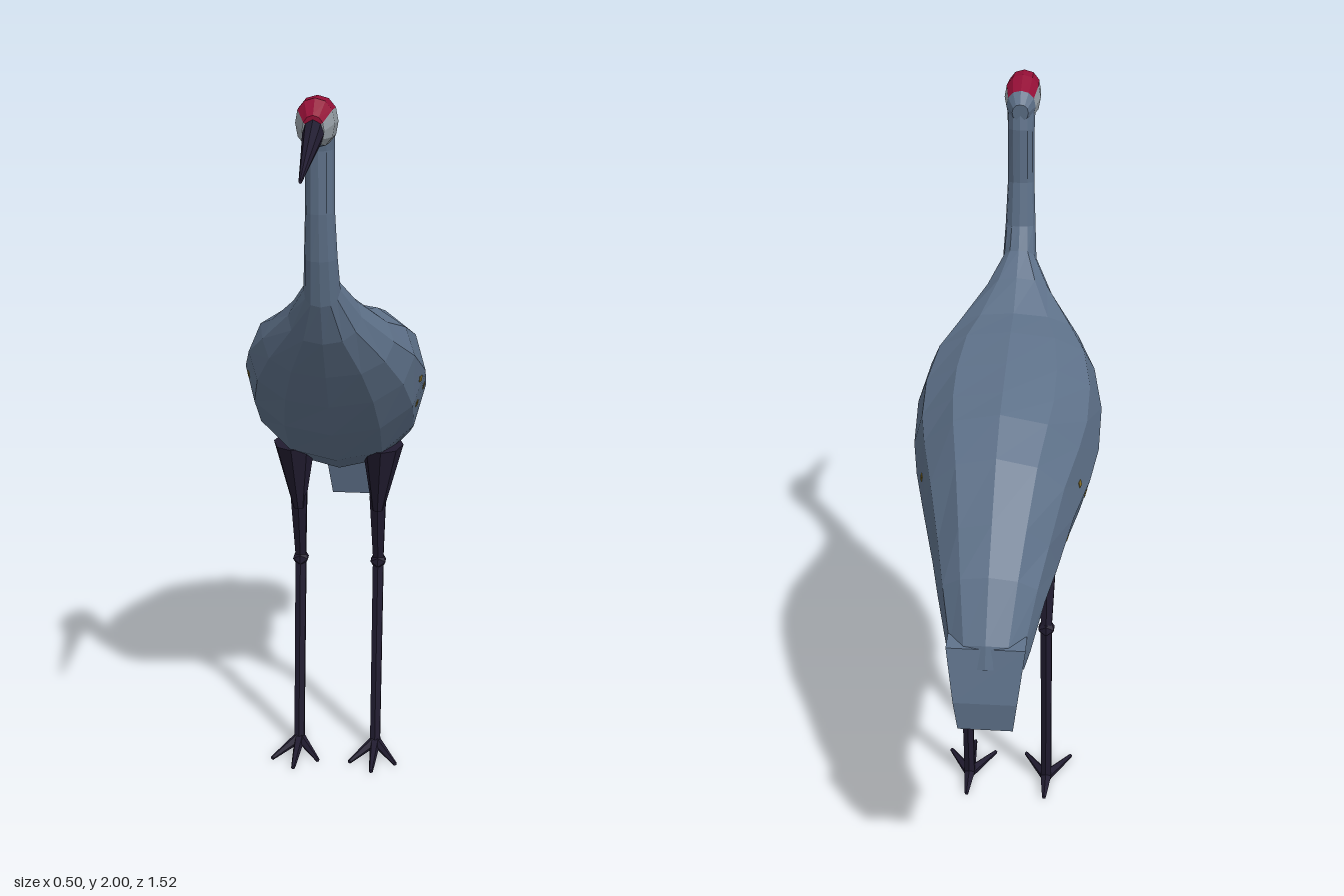
import * as THREE from 'three';

const material = (name, color) => {
  const m = new THREE.MeshStandardMaterial({ color });
  m.name = name;
  return m;
};

// Faceted skin through elliptical rings; each section is [topZ, topY, bottomZ, bottomY, halfWidth]
function loft(sections, n, power = 1, pick = () => 0) {
  const rings = sections.map(([zt, yt, zb, yb, w]) => Array.from({ length: n }, (_, i) => {
    const a = (i / n) * Math.PI * 2;
    const bend = v => Math.sign(v) * Math.pow(Math.abs(v) < 1e-6 ? 0 : Math.abs(v), power);
    const c = bend(Math.cos(a)), s = bend(Math.sin(a));
    return [w * s, (yt + yb) / 2 + (yt - yb) / 2 * c, (zt + zb) / 2 + (zt - zb) / 2 * c];
  }));
  const pos = [], geo = new THREE.BufferGeometry();
  const tri = (a, b, c, m) => {
    geo.addGroup(pos.length / 3, 3, m);
    pos.push(...a, ...b, ...c);
  };
  const last = rings.length - 1;
  const mid = ([zt, yt, zb, yb]) => [0, (yt + yb) / 2, (zt + zb) / 2];
  for (let i = 0; i < n; i++) {
    const j = (i + 1) % n;
    for (let s = 0; s < last; s++) {
      const m = pick(s, i);
      tri(rings[s][i], rings[s + 1][i], rings[s][j], m);
      tri(rings[s][j], rings[s + 1][i], rings[s + 1][j], m);
    }
    tri(mid(sections[0]), rings[0][i], rings[0][j], pick(0, i));
    tri(mid(sections[last]), rings[last][j], rings[last][i], pick(last - 1, i));
  }
  geo.setAttribute('position', new THREE.Float32BufferAttribute(pos, 3));
  geo.computeVertexNormals();
  return geo;
}

// Tapered rod between two points
function rod(a, b, ra, rb, sides = 6) {
  const from = new THREE.Vector3(...a), to = new THREE.Vector3(...b);
  const dir = to.clone().sub(from);
  const geo = new THREE.CylinderGeometry(rb, ra, dir.length(), sides);
  geo.applyQuaternion(new THREE.Quaternion().setFromUnitVectors(new THREE.Vector3(0, 1, 0), dir.normalize()));
  const mid = from.add(to).multiplyScalar(0.5);
  return geo.translate(mid.x, mid.y, mid.z);
}

function facet(geo) {
  const g = geo.index ? geo.toNonIndexed() : geo;
  g.computeVertexNormals();
  return g;
}

export function createModel() {
  const plumage = material('slate plumage', 0x5d7088);
  const dark = material('dark horn', 0x211c30);
  const red = material('red crown', 0x930f36);
  const cheek = material('pale cheek', 0x98a1a8);
  const gold = material('gold fleck', 0x8c7429);

  const model = new THREE.Group();
  const add = (name, geo, mat, parent = model) => {
    const mesh = new THREE.Mesh(geo, mat);
    mesh.name = name;
    parent.add(mesh);
    return mesh;
  };

  // Body and neck, from rump to nape
  const body = add('body', loft([
    [-0.745, 0.82, -0.60, 0.74, 0.09],
    [-0.73, 0.88, -0.585, 0.77, 0.105],
    [-0.64, 1.02, -0.51, 0.82, 0.135],
    [-0.55, 1.12, -0.40, 0.80, 0.16],
    [-0.43, 1.24, -0.32, 0.865, 0.195],
    [-0.32, 1.31, -0.15, 0.87, 0.23],
    [-0.24, 1.337, -0.04, 0.93, 0.248],
    [-0.13, 1.37, 0.07, 1.04, 0.25],
    [0, 1.405, 0.15, 1.145, 0.225],
    [0.1, 1.42, 0.225, 1.25, 0.175],
    [0.2, 1.485, 0.30, 1.36, 0.095],
    [0.27, 1.54, 0.35, 1.47, 0.047],
    [0.30, 1.60, 0.375, 1.59, 0.042],
    [0.318, 1.72, 0.388, 1.71, 0.037],
    [0.308, 1.87, 0.392, 1.865, 0.037],
    [0.315, 1.92, 0.40, 1.90, 0.038],
  ], 12, 0.92), plumage);

  // Tail feathers: saw-toothed block that narrows toward the tips
  const tailShape = new THREE.Shape([
    [0.57, 0.80], [0.585, 0.76], [0.62, 0.62], [0.655, 0.71], [0.69, 0.63],
    [0.72, 0.70], [0.755, 0.65], [0.76, 0.73], [0.73, 0.87], [0.68, 0.88],
  ].map(p => new THREE.Vector2(...p)));
  const tail = new THREE.ExtrudeGeometry(tailShape, { depth: 2, bevelEnabled: false });
  tail.translate(0, 0, -1).rotateY(Math.PI / 2);
  const tp = tail.attributes.position;
  for (let i = 0; i < tp.count; i++) {
    const t = THREE.MathUtils.clamp((tp.getY(i) - 0.62) / 0.25, 0, 1);
    tp.setX(i, tp.getX(i) * (0.065 + 0.033 * t));
  }
  add('tailFeathers', facet(tail), plumage);

  // Head with red crown, pale cheeks and plumage underside
  add('head', loft([
    [0.31, 1.94, 0.315, 1.895, 0.022],
    [0.335, 1.972, 0.345, 1.885, 0.04],
    [0.40, 2.0, 0.40, 1.878, 0.05],
    [0.46, 2.0, 0.455, 1.882, 0.047],
    [0.502, 1.965, 0.498, 1.892, 0.026],
  ], 12, 0.9, (s, i) => {
    const k = Math.min(i, 11 - i);
    if (s === 0) return 2;
    return k < 2 ? 0 : k < 5 ? 1 : 2;
  }), [red, cheek, plumage]);

  add('beak', loft([
    [0.485, 1.962, 0.485, 1.89, 0.027],
    [0.60, 1.915, 0.60, 1.874, 0.017],
    [0.757, 1.858, 0.757, 1.849, 0.004],
  ], 8), dark);

  // Legs and feet
  for (const side of [1, -1]) {
    const leg = new THREE.Group();
    leg.name = side > 0 ? 'leftLeg' : 'rightLeg';
    model.add(leg);
    const x = side * 0.115;

    const thigh = new THREE.CylinderGeometry(0.088, 0.026, 0.2, 8);
    thigh.scale(0.68, 1, 1).translate(0, 0.855, -0.128);
    const p = thigh.attributes.position;
    for (let i = 0; i < p.count; i++) p.setX(i, p.getX(i) + x + side * 0.06 * Math.max(0, p.getY(i) - 0.755));
    add('thigh', facet(thigh), dark, leg);
    add('upperLeg', facet(rod([x, 0.80, -0.125], [x, 0.58, -0.165], 0.027, 0.017)), dark, leg);
    const joint = new THREE.IcosahedronGeometry(0.026, 0);
    add('legJoint', facet(joint.translate(x, 0.58, -0.163)), dark, leg);
    add('lowerLeg', facet(rod([x, 0.58, -0.165], [x, 0.015, -0.095], 0.018, 0.017)), dark, leg);

    // Three front toes and one back toe
    for (const [dx, tz] of [[0, 0.07], [0.068, 0.02], [-0.068, 0.02], [0, -0.19]]) {
      const toe = rod([x, 0.016, -0.1], [x + dx, 0.006, tz], 0.017, 0.006, 5);
      const q = toe.attributes.position;
      for (let i = 0; i < q.count; i++) q.setY(i, Math.max(0, q.getY(i)));
      add('toe', facet(toe), dark, leg);
    }
  }

  // Gold flecks resting on both flanks
  body.updateMatrixWorld(true);
  const ray = new THREE.Raycaster();
  const flecks = [[0, 1.19], [-0.03, 1.11], [-0.075, 1.148], [-0.2, 1.03], [-0.25, 1.06], [-0.305, 1.115], [-0.38, 0.995]];
  for (const side of [1, -1]) {
    for (const [z, y] of flecks) {
      ray.set(new THREE.Vector3(side, y, z), new THREE.Vector3(-side, 0, 0));
      const hit = ray.intersectObject(body)[0];
      if (!hit) continue;
      const fleck = add('fleck', new THREE.BoxGeometry(0.016, 0.016, 0.004), gold);
      fleck.position.copy(hit.point);
      fleck.quaternion.setFromUnitVectors(new THREE.Vector3(0, 0, 1), hit.face.normal);
    }
  }
  return model;
}
